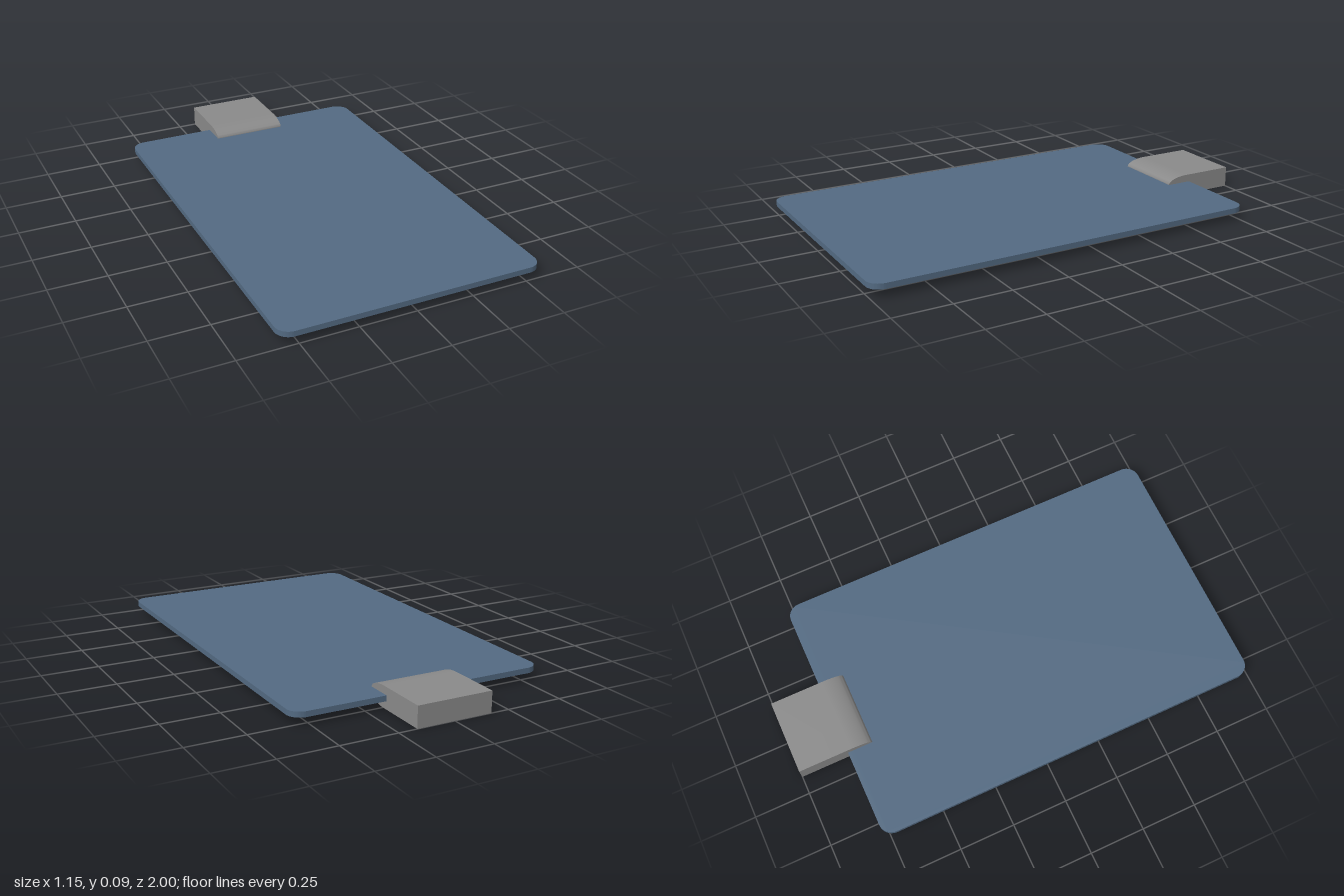
import * as THREE from 'three';
import { toCreasedNormals } from 'three/addons/utils/BufferGeometryUtils.js';

const boardBlue = new THREE.MeshStandardMaterial({ color: 0x536a82 });
boardBlue.name = 'boardBlue';
const clipGrey = new THREE.MeshStandardMaterial({ color: 0x8a8a8a });
clipGrey.name = 'clipGrey';

// Extrude a shape and smooth only its curved edges
function extrude(shape, depth) {
  const geometry = new THREE.ExtrudeGeometry(shape, { depth, bevelEnabled: false, curveSegments: 12 });
  return toCreasedNormals(geometry, Math.PI / 6);
}

function roundedRect(w, h, r) {
  const s = new THREE.Shape();
  const x = w / 2, y = h / 2;
  s.absarc(x - r, y - r, r, 0, Math.PI / 2);
  s.absarc(-x + r, y - r, r, Math.PI / 2, Math.PI);
  s.absarc(-x + r, -y + r, r, Math.PI, Math.PI * 1.5);
  s.absarc(x - r, -y + r, r, Math.PI * 1.5, Math.PI * 2);
  s.closePath();
  return s;
}

export function createModel() {
  const model = new THREE.Group();
  model.name = 'clipboard';

  // Thin board with rounded corners, lying flat
  const board = new THREE.Mesh(extrude(roundedRect(1.15, 1.777, 0.06), 0.024), boardBlue);
  board.name = 'board';
  board.rotation.x = -Math.PI / 2;
  board.position.set(0, 0.035, 0.1115);
  model.add(board);

  // Clip side profile: square back, rounded nose gripping the board (shape x is -z)
  const top = 0.093, nose = 0.662, shoulder = 0.76;
  const profile = new THREE.Shape();
  profile.moveTo(1, 0);
  profile.lineTo(1, top);
  profile.lineTo(shoulder, top);
  profile.bezierCurveTo(0.71, top, nose, 0.08, nose, 0.059);
  profile.lineTo(nose, top - 0.059);
  profile.bezierCurveTo(nose, top - 0.08, 0.71, 0, shoulder, 0);
  profile.closePath();

  const clip = new THREE.Mesh(extrude(profile, 0.338), clipGrey);
  clip.name = 'clip';
  clip.rotation.y = Math.PI / 2;
  clip.position.x = -0.169;
  model.add(clip);

  return model;
}
